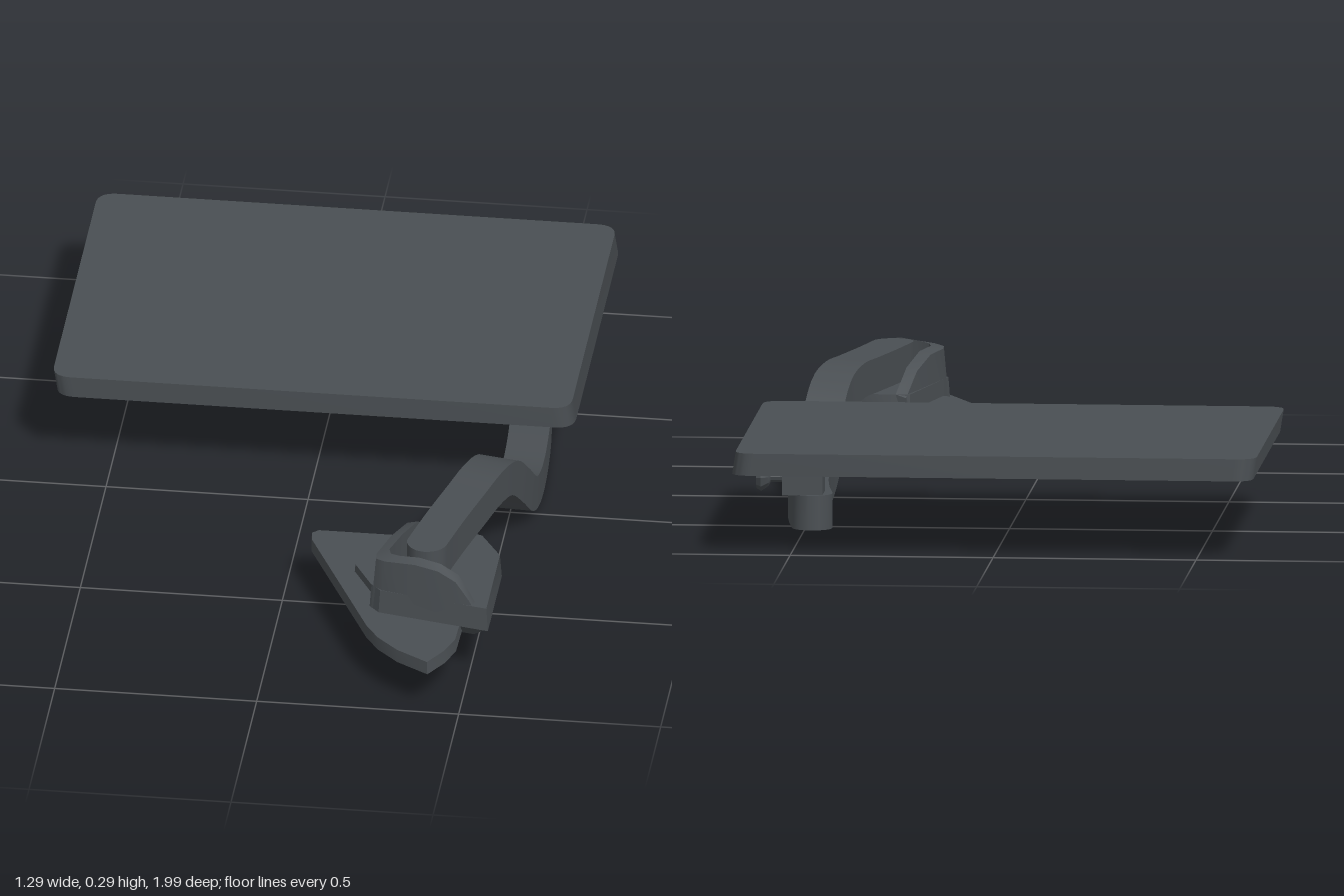
import * as THREE from 'three';
import { toCreasedNormals } from 'three/addons/utils/BufferGeometryUtils.js';

const plastic = new THREE.MeshStandardMaterial({ color: 0x4a4f53, side: THREE.DoubleSide });
plastic.name = 'charcoal plastic';

function add(group, name, geo) {
  const mesh = new THREE.Mesh(geo, plastic);
  mesh.name = name;
  group.add(mesh);
  return mesh;
}

// Upright prism from an outline of [x, z] points; the bottom is scaled about the outline's middle.
function prism(points, y0, y1, bottomScale = 1) {
  const shape = new THREE.Shape(points.map(([x, z]) => new THREE.Vector2(x, -z)));
  return taper(shape, y0, y1, bottomScale);
}

function taper(shape, y0, y1, bottomScale = 1) {
  const geo = new THREE.ExtrudeGeometry(shape, { depth: y1 - y0, bevelEnabled: false, curveSegments: 8 });
  geo.rotateX(-Math.PI / 2).translate(0, y0, 0);
  geo.computeBoundingBox();
  const c = geo.boundingBox.getCenter(new THREE.Vector3());
  const p = geo.attributes.position;
  for (let i = 0; i < p.count; i++) {
    if (p.getY(i) > y0 + 1e-4) continue;
    p.setX(i, c.x + (p.getX(i) - c.x) * bottomScale);
    p.setZ(i, c.z + (p.getZ(i) - c.z) * bottomScale);
  }
  return toCreasedNormals(geo, 0.6);
}

// Skin over rings of four corners, closed at both ends.
function skin(rings) {
  const out = [];
  const quad = (a, b, c, d) => [a, b, c, a, c, d].forEach((v) => out.push(v.x, v.y, v.z));
  for (let i = 0; i < rings.length - 1; i++) {
    for (let k = 0; k < 4; k++) {
      const n = (k + 1) % 4;
      quad(rings[i][k], rings[i][n], rings[i + 1][n], rings[i + 1][k]);
    }
  }
  quad(...[...rings[0]].reverse());
  quad(...rings[rings.length - 1]);
  const geo = new THREE.BufferGeometry();
  geo.setAttribute('position', new THREE.Float32BufferAttribute(out, 3));
  return toCreasedNormals(geo, 0.6);
}

// Bent bar with half-round ends.
function armGeometry() {
  const curve = new THREE.CatmullRomCurve3([
    [0.37, 0.253, 0.72], [0.41, 0.253, 0.54], [0.445, 0.253, 0.4], [0.47, 0.252, 0.3],
    [0.49, 0.23, 0.21], [0.507, 0.15, 0.11], [0.517, 0.075, 0.02], [0.52, 0.05, -0.08],
    [0.515, 0.049, -0.25], [0.5, 0.049, -0.42], [0.475, 0.049, -0.585],
  ].map((p) => new THREE.Vector3(...p)), false, 'centripetal');
  const length = curve.getLength(), half = 0.05, thick = 0.043;
  const stops = [];
  for (let i = 0; i <= 7; i++) stops.push(half * (1 - Math.cos((i / 7) * Math.PI / 2)));
  for (let i = 1; i < 48; i++) stops.push(half + (length - 2 * half) * i / 48);
  for (let i = 7; i >= 0; i--) stops.push(length - half * (1 - Math.cos((i / 7) * Math.PI / 2)));
  return skin(stops.map((s) => {
    const u = Math.min(s / length, 1), c = curve.getPointAt(u), t = curve.getTangentAt(u);
    const side = new THREE.Vector3().crossVectors(t, new THREE.Vector3(0, 1, 0)).normalize();
    const up = new THREE.Vector3().crossVectors(side, t);
    const end = Math.max(0, half - Math.min(s, length - s));
    const w = Math.max(0.012, Math.sqrt(half * half - end * end));
    return [[-1, -1], [1, -1], [1, 1], [-1, 1]].map(([a, b]) =>
      c.clone().addScaledVector(side, a * w).addScaledVector(up, b * thick));
  }));
}

// Curved guard wall: each station is x, z of the outside, x, z of the inside, and top height.
function guardGeometry() {
  const stations = [
    [0.32, 0.41, 0.355, 0.42, 0.2], [0.3, 0.5, 0.335, 0.505, 0.255], [0.275, 0.61, 0.312, 0.615, 0.28],
    [0.25, 0.71, 0.29, 0.695, 0.282], [0.25, 0.74, 0.297, 0.72, 0.284], [0.275, 0.76, 0.32, 0.735, 0.288],
    [0.36, 0.78, 0.37, 0.748, 0.294], [0.42, 0.793, 0.425, 0.76, 0.287], [0.465, 0.802, 0.47, 0.77, 0.265],
    [0.5, 0.81, 0.5, 0.778, 0.22], [0.545, 0.82, 0.53, 0.785, 0.16],
  ];
  return skin(stations.map(([ox, oz, ix, iz, top]) => [
    new THREE.Vector3(ox, 0.14, oz), new THREE.Vector3(ix, 0.14, iz),
    new THREE.Vector3(ix, top, iz),
    new THREE.Vector3(ox + (ix - ox) * 0.25, top - 0.008, oz + (iz - oz) * 0.25),
  ]));
}

export function createModel() {
  const model = new THREE.Group();
  model.name = 'foldingTray';

  // Tray: rounded slab leaning very slightly
  const w = 0.642, d = 0.455, r = 0.05;
  const top = new THREE.Shape();
  top.moveTo(-w + r, -d).lineTo(w - r, -d).quadraticCurveTo(w, -d, w, -d + r);
  top.lineTo(w, d - r).quadraticCurveTo(w, d, w - r, d);
  top.lineTo(-w + r, d).quadraticCurveTo(-w, d, -w, d - r);
  top.lineTo(-w, -d + r).quadraticCurveTo(-w, -d, -w + r, -d);
  const slab = taper(top, 0.2, 0.255);
  const p = slab.attributes.position;
  for (let i = 0; i < p.count; i++) p.setX(i, p.getX(i) - (p.getY(i) - 0.2275) * 0.16);
  add(model, 'trayTop', slab).position.z = -0.545;

  // Slide rail and hinge under the tray
  add(model, 'slidePlate', prism([[-0.5, -0.66], [0.56, -0.66], [0.56, -0.4], [-0.5, -0.4]], 0.18, 0.202));
  add(model, 'slideRail', prism([[-0.5, -0.57], [0.22, -0.57], [0.3, -0.6], [0.5, -0.6],
    [0.5, -0.46], [0.3, -0.46], [0.22, -0.49], [-0.5, -0.49]], 0.162, 0.182));
  add(model, 'hingeBlock', new THREE.BoxGeometry(0.1, 0.09, 0.08)).position.set(0.505, 0.135, -0.532);

  // Locking knob
  const knob = new THREE.LatheGeometry([[0, 0], [0.014, 0], [0.014, 0.035], [0.024, 0.04], [0.037, 0.058],
    [0.03, 0.07], [0, 0.07]].map((q) => new THREE.Vector2(...q)), 10);
  knob.rotateZ(-Math.PI / 2);
  add(model, 'lockingKnob', toCreasedNormals(knob, 0.5)).position.set(0.55, 0.132, -0.532);

  // Swing arm
  add(model, 'swingArm', armGeometry());

  // Mount: pointed flange, body, raised pad, guard wall and pivot
  add(model, 'mountFlange', prism([[0.075, 0.38], [0.36, 0.38], [0.44, 0.45], [0.48, 0.6], [0.475, 0.87],
    [0.455, 0.93], [0.42, 0.99], [0.34, 0.94], [0.285, 0.885], [0.25, 0.83], [0.065, 0.43], [0.06, 0.395]], 0.107, 0.14, 1.01));
  add(model, 'mountPad', prism([[0.19, 0.57], [0.225, 0.5], [0.33, 0.49], [0.33, 0.69], [0.25, 0.68]], 0.125, 0.16, 1.05));
  const body = [[0.25, 0.73], [0.32, 0.42], [0.4, 0.42], [0.49, 0.46], [0.545, 0.55], [0.545, 0.815], [0.275, 0.758]];
  add(model, 'mountBody', prism(body, 0.14, 0.2, 1.03));
  add(model, 'mountBase', prism(body, 0.097, 0.142, 0.75));
  add(model, 'guardWall', guardGeometry());
  add(model, 'armPivot', new THREE.CylinderGeometry(0.042, 0.042, 0.03, 20)).position.set(0.385, 0.205, 0.66);

  return model;
}
